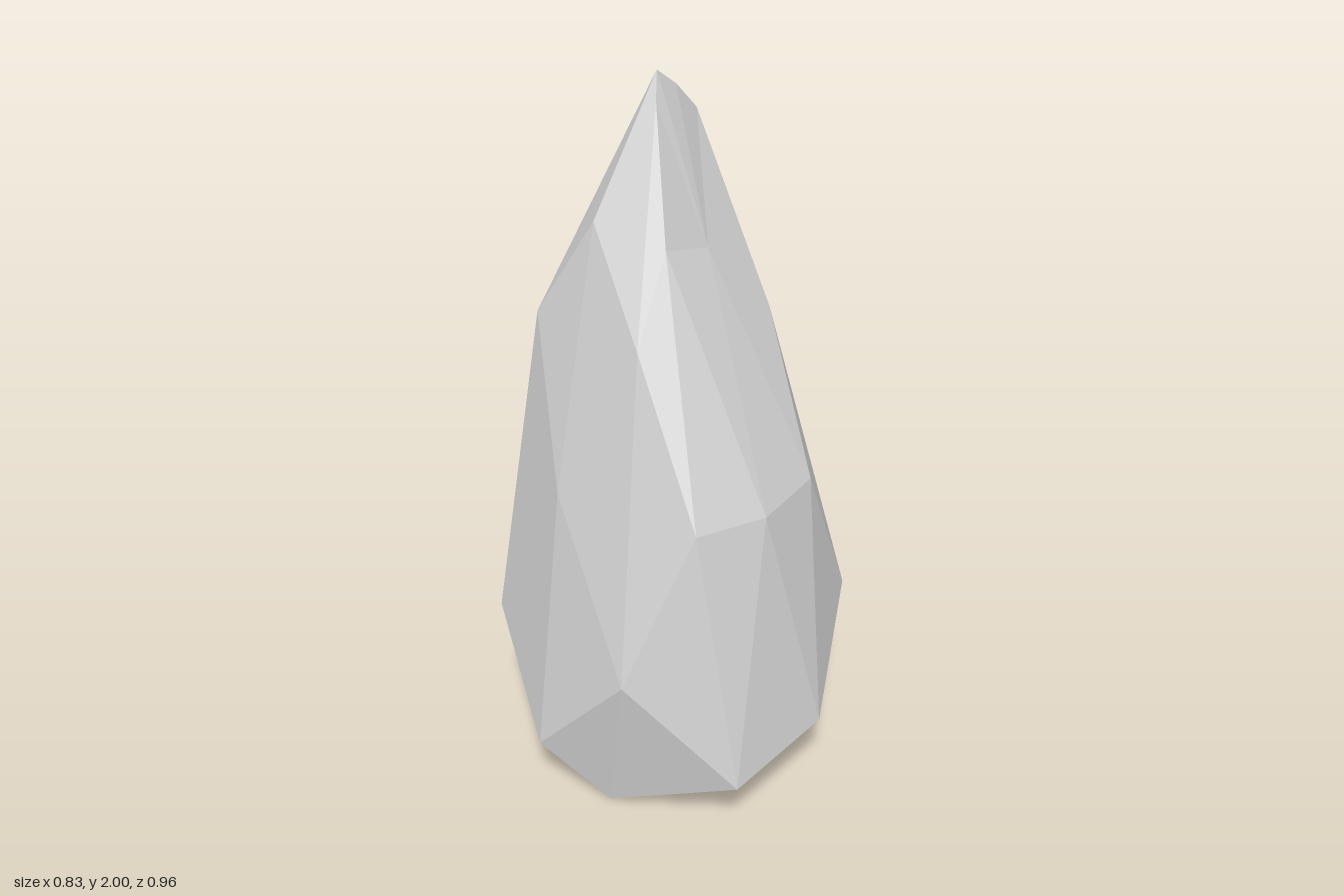
import * as THREE from 'three';
import { ConvexGeometry } from 'three/addons/geometries/ConvexGeometry.js';

// Corners of the stone, x, y, z, from base to tip. A corner that sits in a
// hollow also has an x and z bulge, which is only used while skinning.
const corners = [
  // flat base
  [-0.28, 0, 0.35], [0.07, 0, 0.37], [0.09, 0, 0.19], [-0.08, 0, -0.11], [-0.26, 0, 0.06],
  // lower belt
  [-0.1, 0.15, 0.48], [0.415, 0.16, 0.21], [0.375, 0.2, -0.13],
  [-0.105, 0.14, -0.48], [-0.25, 0.08, -0.23], [-0.375, 0.2, -0.03],
  // low shoulders
  [-0.345, 0.46, 0.415], [0.18, 0.455, 0.41], [0.185, 0.45, -0.395], [-0.31, 0.46, -0.35],
  // waist
  [-0.415, 0.92, 0.26], [-0.095, 0.92, 0.39], [0.305, 0.92, 0.26], [0.325, 0.9, 0.04],
  [0.255, 0.9, -0.185], [-0.075, 0.92, -0.4], [-0.38, 0.92, -0.14], [-0.4, 0.9, 0.04],
  // upper taper
  [-0.26, 1.36, 0.31], [0.095, 1.36, 0.27], [0.06, 1.33, -0.205, 0.01, -0.01],
  [-0.23, 1.41, -0.19], [-0.275, 1.5, -0.065], [-0.24, 1.5, 0.13, -0.04, 0],
  [-0.1, 1.64, 0.245], [0.07, 1.59, 0.155, 0.03, 0], [0.05, 1.55, 0, 0.055, 0],
  [-0.09, 1.68, -0.15],
  // tip
  [-0.075, 1.87, -0.07], [-0.12, 1.82, 0.015, -0.035, 0], [-0.04, 1.93, 0.09, 0.02, 0.02],
  [-0.065, 1.95, 0.005], [-0.06, 2, 0.07],
];

// Skin the bulged corners, and return triangles of corner numbers
function skin() {
  const hullPoints = corners.map(([x, y, z, bx = 0, bz = 0]) => new THREE.Vector3(x + bx, y, z + bz));
  const pos = new ConvexGeometry(hullPoints).attributes.position;
  const v = new THREE.Vector3();
  const triangles = [];
  for (let i = 0; i < pos.count; i += 3) {
    triangles.push([0, 1, 2].map((k) => {
      v.fromBufferAttribute(pos, i + k);
      return hullPoints.findIndex((p) => p.distanceTo(v) < 1e-4);
    }));
  }
  return triangles;
}

// Turn the edge a-b shared by two triangles, so that it joins their other corners
function flipEdge(triangles, a, b) {
  const pair = triangles.filter((t) => t.includes(a) && t.includes(b));
  const follows = (t) => t[(t.indexOf(a) + 1) % 3] === b;
  const other = (t) => t.find((n) => n !== a && n !== b);
  const c = other(pair.find(follows));
  const d = other(pair.find((t) => !follows(t)));
  return [...triangles.filter((t) => !pair.includes(t)), [a, d, c], [d, b, c]];
}

export function createModel() {
  const group = new THREE.Group();
  group.name = 'rock';

  const stoneGrey = new THREE.MeshStandardMaterial({ color: 0xd8d8d8, flatShading: true });
  stoneGrey.name = 'stone grey';

  // The undercut at the back right of the base is a hollow fold
  const triangles = flipEdge(skin(), 7, 8);
  const points = triangles.flat().map((n) => new THREE.Vector3(...corners[n].slice(0, 3)));
  const geometry = new THREE.BufferGeometry().setFromPoints(points);
  geometry.computeVertexNormals();

  const stone = new THREE.Mesh(geometry, stoneGrey);
  stone.name = 'stone';
  group.add(stone);
  return group;
}
